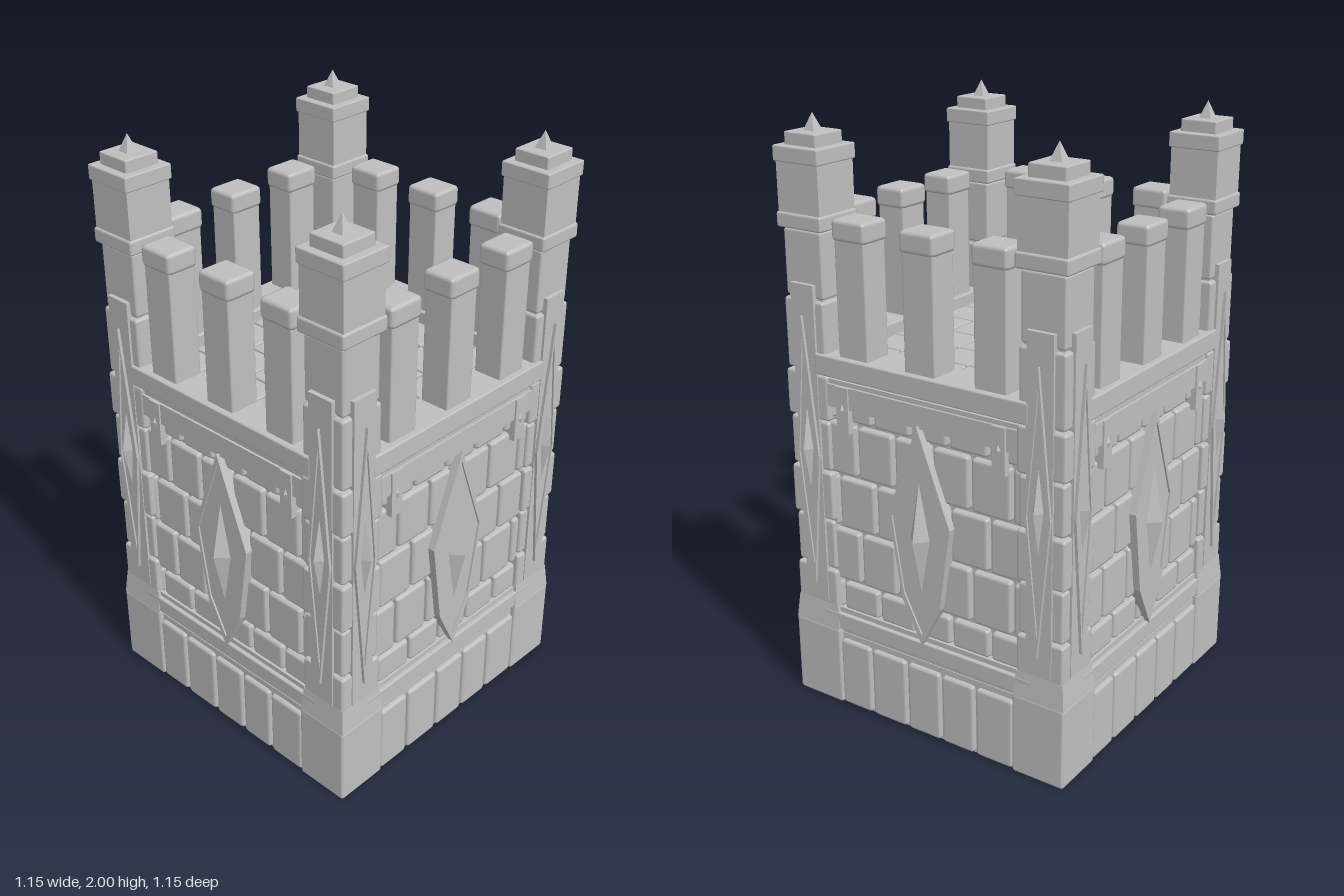
import * as THREE from 'three';
import { RoundedBoxGeometry } from 'three/addons/geometries/RoundedBoxGeometry.js';

export function createModel() {
  const stone = new THREE.MeshStandardMaterial({ color: 0xc0c0c0 });
  stone.name = 'grey stone';
  const tower = new THREE.Group();
  tower.name = 'castleTower';

  const add = (parent, name, geo) => {
    const mesh = new THREE.Mesh(geo, stone);
    mesh.name = name;
    parent.add(mesh);
    return mesh;
  };

  // box given by its limits; bevel > 0 rounds the edges
  const block = (parent, name, x0, x1, y0, y1, z0, z1, bevel = 0) => {
    const w = x1 - x0, h = y1 - y0, d = z1 - z0;
    const geo = bevel ? new RoundedBoxGeometry(w, h, d, 1, bevel) : new THREE.BoxGeometry(w, h, d);
    const mesh = add(parent, name, geo);
    mesh.position.set((x0 + x1) / 2, (y0 + y1) / 2, (z0 + z1) / 2);
    return mesh;
  };

  // square block centred on a corner pillar or merlon
  const square = (parent, name, c, half, y0, y1, bevel = 0) =>
    block(parent, name, c - half, c + half, y0, y1, c - half, c + half, bevel);

  // four-sided gem on a wall, facing +z
  const gem = (parent, x, y, z, halfW, halfH, depth) => {
    const geo = new THREE.ConeGeometry(1, 1, 4).rotateX(Math.PI / 2).translate(0, 0, 0.5)
      .scale(halfW, halfH, depth).toNonIndexed();
    geo.computeVertexNormals();
    add(parent, 'gem', geo).position.set(x, y, z);
  };

  // pointed plate with a raised rim; points run around the outline
  const shield = (parent, name, points, x, y, z, depth, rim) => {
    const outline = (s) => points.map(([px, py]) => new THREE.Vector2(px * s, py * s));
    const frame = new THREE.Shape(outline(1));
    frame.holes.push(new THREE.Path(outline(rim)));
    add(parent, name + 'Rim', new THREE.ExtrudeGeometry(frame, { depth, bevelEnabled: false }))
      .position.set(x, y, z);
    const face = new THREE.Shape(outline((1 + rim) / 2));
    add(parent, name + 'Face', new THREE.ExtrudeGeometry(face, { depth: depth - 0.006, bevelEnabled: false }))
      .position.set(x, y, z);
  };

  // solid cores behind the masonry
  block(tower, 'baseCore', -0.525, 0.525, 0, 0.27, -0.525, 0.525);
  block(tower, 'wallCore', -0.495, 0.495, 0.25, 1.2, -0.495, 0.495);

  // floor tiles
  const pitch = 0.8 / 6;
  for (let i = 0; i < 6; i++) {
    for (let j = 0; j < 6; j++) {
      const x = -0.4 + i * pitch, z = -0.4 + j * pitch;
      block(tower, 'floorTile', x + 0.003, x + pitch - 0.003, 1.17, 1.22, z + 0.003, z + pitch - 0.003, 0.005);
    }
  }

  const rows = [[0.355, 0.46], [0.465, 0.655], [0.66, 0.845], [0.85, 1.035], [1.04, 1.19]];
  const jointsOdd = [-0.41, -0.265, -0.115, 0.035, 0.18, 0.335, 0.41];
  const jointsEven = [-0.41, -0.35, -0.195, -0.045, 0.1, 0.25, 0.395];
  const baseJoints = [-0.355, -0.22, -0.07, 0.07, 0.205, 0.355];
  const bigDiamond = [[0, 0.38], [-0.12, 0.06], [-0.075, -0.23], [0, -0.38], [0.075, -0.23], [0.12, 0.06]];
  const slimDiamond = [[0, 0.47], [-0.045, 0], [0, -0.47], [0.045, 0]];

  const buildSide = () => {
    const side = new THREE.Group();
    side.name = 'wallSide';

    // base stones between the corners
    for (let i = 0; i < 5; i++) {
      block(side, 'baseStone', baseJoints[i] + 0.004, baseJoints[i + 1] - 0.004, 0.002, 0.25, 0.46, 0.54, 0.012);
    }
    // stepped ledge above the base
    block(side, 'lowerLedge', -0.36, 0.36, 0.25, 0.28, 0.47, 0.522);
    block(side, 'ledge', -0.42, 0.42, 0.285, 0.345, 0.47, 0.536, 0.005);
    block(side, 'ledgeLip', -0.4, 0.4, 0.34, 0.362, 0.47, 0.522);

    // staggered wall bricks
    rows.forEach(([y0, y1], r) => {
      const joints = r % 2 ? jointsOdd : jointsEven;
      for (let i = 0; i < joints.length - 1; i++) {
        block(side, 'brick', joints[i] + 0.005, joints[i + 1] - 0.005, y0 + 0.003, y1 - 0.003, 0.46, 0.516, 0.012);
      }
    });

    // upper rail and parapet
    block(side, 'rail', -0.4, 0.4, 1.09, 1.165, 0.48, 0.53);
    block(side, 'railLip', -0.4, 0.4, 1.165, 1.18, 0.48, 0.522);
    block(side, 'parapet', -0.405, 0.405, 1.19, 1.26, 0.4, 0.538, 0.006);
    for (const s of [-1, 1]) {
      block(side, 'railBracket', s * 0.3 - 0.024, s * 0.3 + 0.024, 1.01, 1.165, 0.48, 0.536);
      gem(side, s * 0.3, 1.09, 0.536, 0.01, 0.02, 0.008);
    }

    // merlons
    for (const x of [-0.26, 0, 0.26]) {
      block(side, 'merlon', x - 0.058, x + 0.058, 1.24, 1.66, 0.413, 0.517, 0.006);
      block(side, 'merlonCap', x - 0.065, x + 0.065, 1.63, 1.7, 0.407, 0.523, 0.014);
    }

    // central shield
    shield(side, 'shield', bigDiamond, 0, 0.72, 0.505, 0.036, 0.9);
    gem(side, 0, 0.72, 0.535, 0.037, 0.19, 0.04);

    // tall plates and slim diamonds on the corner pillars
    for (const s of [-1, 1]) {
      block(side, 'cornerPlate', s * 0.445 - 0.046, s * 0.445 + 0.046, 0.375, 1.48, 0.5, 0.536);
      shield(side, 'cornerDiamond', slimDiamond, s * 0.445, 0.91, 0.53, 0.016, 0.86);
      gem(side, s * 0.445, 0.93, 0.54, 0.018, 0.14, 0.026);
    }
    return side;
  };

  const buildCorner = () => {
    const corner = new THREE.Group();
    corner.name = 'cornerPillar';
    // base block with a sloped shoulder
    square(corner, 'cornerBase', 0.447, 0.096, 0, 0.285, 0.01);
    const shoulder = new THREE.CylinderGeometry(0.085 * Math.SQRT2, 0.094 * Math.SQRT2, 0.09, 4, 1)
      .rotateY(Math.PI / 4).toNonIndexed();
    shoulder.computeVertexNormals();
    add(corner, 'cornerShoulder', shoulder).position.set(0.447, 0.325, 0.447);

    // stacked pillar stones
    const levels = [0.36, 0.5, 0.68, 0.855, 1.03, 1.19, 1.43];
    for (let i = 0; i < levels.length - 1; i++) {
      square(corner, 'pillarStone', 0.447, i % 2 ? 0.081 : 0.086, levels[i] + 0.003, levels[i + 1] - 0.003, 0.01);
    }
    square(corner, 'pillarCore', 0.445, 0.068, 0.3, 1.68);
    square(corner, 'upperPillarStone', 0.445, 0.076, 1.433, 1.648, 0.008);

    // turret head
    square(corner, 'turretFoot', 0.445, 0.09, 1.65, 1.7, 0.008);
    square(corner, 'turretBody', 0.445, 0.083, 1.68, 1.88);
    square(corner, 'turretRim', 0.445, 0.09, 1.855, 1.905, 0.005);
    square(corner, 'turretCap', 0.445, 0.063, 1.9, 1.945, 0.005);
    const spike = new THREE.ConeGeometry(0.021 * Math.SQRT2, 0.056, 4).rotateY(Math.PI / 4).toNonIndexed();
    spike.computeVertexNormals();
    add(corner, 'turretSpike', spike).position.set(0.445, 1.972, 0.445);
    return corner;
  };

  // four equal sides and corners
  for (let i = 0; i < 4; i++) {
    for (const part of [buildSide(), buildCorner()]) {
      part.rotation.y = (i * Math.PI) / 2;
      tower.add(part);
    }
  }
  return tower;
}
